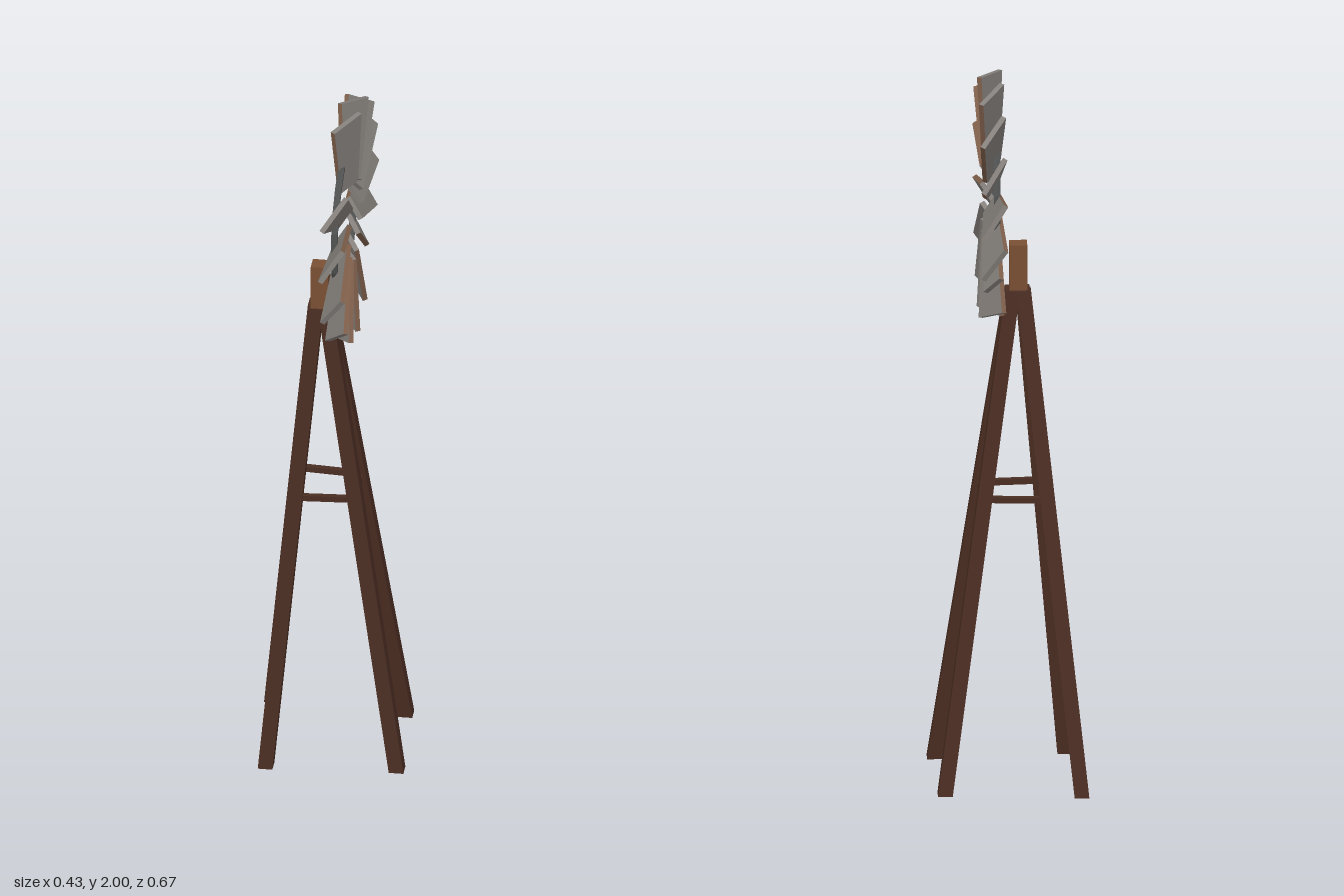
import * as THREE from 'three';

const mat = (name, color) => {
  const m = new THREE.MeshStandardMaterial({ color });
  m.name = name;
  return m;
};

// Square beam swept between two points, keeping level square ends
function uprightBeam(foot, top, size) {
  const h = top.y - foot.y;
  const g = new THREE.BoxGeometry(size, h, size);
  const p = g.attributes.position;
  for (let i = 0; i < p.count; i++) {
    const t = p.getY(i) / h + 0.5;
    p.setXYZ(i,
      p.getX(i) + THREE.MathUtils.lerp(foot.x, top.x, t),
      THREE.MathUtils.lerp(foot.y, top.y, t),
      p.getZ(i) + THREE.MathUtils.lerp(foot.z, top.z, t));
  }
  g.computeVertexNormals();
  return g;
}

// Tapered flat blade: narrow at the inner radius, wide at the tip
function bladeGeometry(inner, outer, innerWidth, outerWidth) {
  const length = outer - inner;
  const g = new THREE.BoxGeometry(1, length, 0.014);
  const p = g.attributes.position;
  for (let i = 0; i < p.count; i++) {
    const t = p.getY(i) / length + 0.5;
    p.setX(i, p.getX(i) * THREE.MathUtils.lerp(innerWidth, outerWidth, t));
    p.setY(i, THREE.MathUtils.lerp(inner, outer, t));
  }
  g.computeVertexNormals();
  return g;
}

export function createModel() {
  const model = new THREE.Group();
  model.name = 'windPump';
  const wood = mat('dark wood', 0x4a2d22);
  const postWood = mat('post wood', 0x7a4f33);
  const metal = mat('grey metal', 0x85807b);
  const rust = mat('rusty edge', 0x80604c);
  const iron = mat('dark iron', 0x505252);

  const add = (parent, name, geometry, material) => {
    const mesh = new THREE.Mesh(geometry, material);
    mesh.name = name;
    parent.add(mesh);
    return mesh;
  };

  // Four uneven splayed legs: foot x, z and top x, z
  const tower = new THREE.Group();
  tower.name = 'tower';
  model.add(tower);
  const legs = [
    [-0.195, -0.217, -0.045, -0.008],
    [0.175, -0.19, -0.015, -0.008],
    [0.193, 0.107, -0.015, 0.012],
    [-0.162, 0.135, -0.042, 0.012],
  ].map(([fx, fz, tx, tz]) => [new THREE.Vector3(fx, 0, fz), new THREE.Vector3(tx, 1.39, tz)]);
  for (const [foot, top] of legs) add(tower, 'leg', uprightBeam(foot, top, 0.04), wood);

  // Thin braces joining neighbouring legs
  const joints = legs.map(([foot, top]) => foot.clone().lerp(top, 0.812 / 1.39));
  joints.forEach((a, i) => {
    const b = joints[(i + 1) % joints.length];
    const brace = add(tower, 'brace', new THREE.BoxGeometry(0.016, 0.016, a.distanceTo(b)), wood);
    brace.position.copy(a).lerp(b, 0.5);
    brace.lookAt(b);
  });

  // Short post on top of the tower
  const post = add(model, 'post', new THREE.BoxGeometry(0.048, 0.17, 0.044), postWood);
  post.position.set(-0.031, 1.435, 0.006);

  // Wheel facing +x
  const wheel = new THREE.Group();
  wheel.name = 'wheel';
  wheel.position.set(0.045, 1.665, 0);
  model.add(wheel);

  const ring = add(wheel, 'ring', new THREE.TorusGeometry(0.193, 0.01, 6, 20).toNonIndexed(), iron);
  ring.geometry.computeVertexNormals();
  ring.rotation.y = Math.PI / 2;
  ring.position.x = -0.012;

  // Unevenly spaced pitched blades, one missing and one worn short
  const angles = [-8, 16, 40, 62, 84, 106, 128, 153, 177, 201, 224, 250, 277, 302];
  const full = bladeGeometry(0.113, 0.333, 0.07, 0.114);
  const worn = bladeGeometry(0.113, 0.295, 0.06, 0.078);
  for (const angle of angles) {
    const spoke = new THREE.Group();
    spoke.name = 'bladeArm';
    spoke.rotation.x = -THREE.MathUtils.degToRad(angle);
    wheel.add(spoke);
    const blade = add(spoke, 'blade', angle === 128 ? worn : full, [rust, rust, metal, metal, metal, metal]);
    blade.rotation.y = THREE.MathUtils.degToRad(58);
  }
  return model;
}
